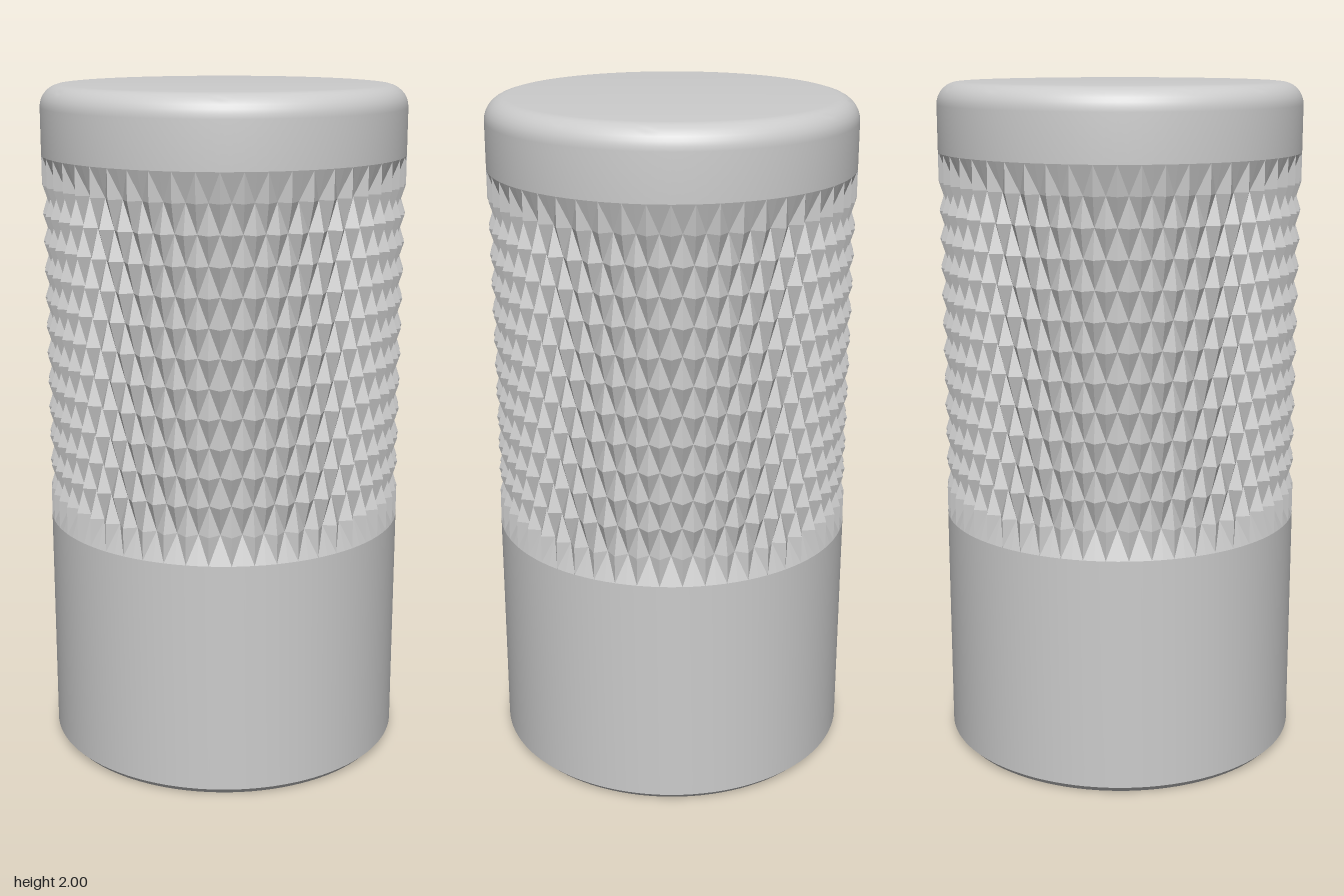
import * as THREE from 'three';
import { toCreasedNormals } from 'three/addons/utils/BufferGeometryUtils.js';

const R = 0.533;        // outer radius
const VALLEY = 0.506;   // radius at the groove crossings
const Y0 = 0.71, Y1 = 1.8; // knurled band
const TEETH = 52, ROWS = 13;
const COLS = TEETH * 2;

function lathe(name, points, material) {
  const profile = points.map(([x, y]) => new THREE.Vector2(x, y));
  const geometry = toCreasedNormals(new THREE.LatheGeometry(profile, COLS), 0.5);
  const mesh = new THREE.Mesh(geometry, material);
  mesh.name = name;
  return mesh;
}

// Diamond pyramids: peaks and groove crossings alternate like a checkerboard
function knurlGeometry() {
  const isValley = (i, j) => (i + j) % 2 === 0;
  const positions = [];
  const put = (i, j) => {
    const inside = j > 0 && j < ROWS;
    const r = inside && isValley(i, j) ? VALLEY : R;
    const a = ((i % COLS) / COLS) * Math.PI * 2;
    positions.push(r * Math.sin(a), Y0 + ((Y1 - Y0) * j) / ROWS, r * Math.cos(a));
  };
  for (let j = 0; j < ROWS; j++) {
    for (let i = 0; i < COLS; i++) {
      const a = [i, j], b = [i + 1, j], c = [i + 1, j + 1], d = [i, j + 1];
      // split each cell along its groove
      const corners = isValley(i, j) ? [a, b, c, a, c, d] : [a, b, d, b, c, d];
      corners.forEach(([u, v]) => put(u, v));
    }
  }
  const geometry = new THREE.BufferGeometry();
  geometry.setAttribute('position', new THREE.Float32BufferAttribute(positions, 3));
  geometry.computeVertexNormals();
  return geometry;
}

export function createModel() {
  const group = new THREE.Group();
  group.name = 'knurledHandle';
  const smooth = new THREE.MeshStandardMaterial({ color: 0xcccccc });
  const faceted = new THREE.MeshStandardMaterial({ color: 0xcccccc, flatShading: true });

  // Plain lower body with chamfered foot and a stepped bore underneath
  group.add(lathe('lowerBody', [
    [0, 0.8], [0.108, 0.8], [0.108, 0.073], [0.17, 0.073], [0.17, 0],
    [0.513, 0], [R, 0.02], [R, Y0],
  ], smooth));

  // Knurled grip
  const grip = new THREE.Mesh(knurlGeometry(), faceted);
  grip.name = 'knurledGrip';
  group.add(grip);

  // Cap with a rounded top edge
  const fillet = 0.065, steps = 8;
  const cap = [[R, Y1]];
  for (let k = 0; k <= steps; k++) {
    const a = (k / steps) * Math.PI / 2;
    cap.push([R - fillet + fillet * Math.cos(a), 2 - fillet + fillet * Math.sin(a)]);
  }
  cap.push([0, 2]);
  group.add(lathe('cap', cap, smooth));

  return group;
}
